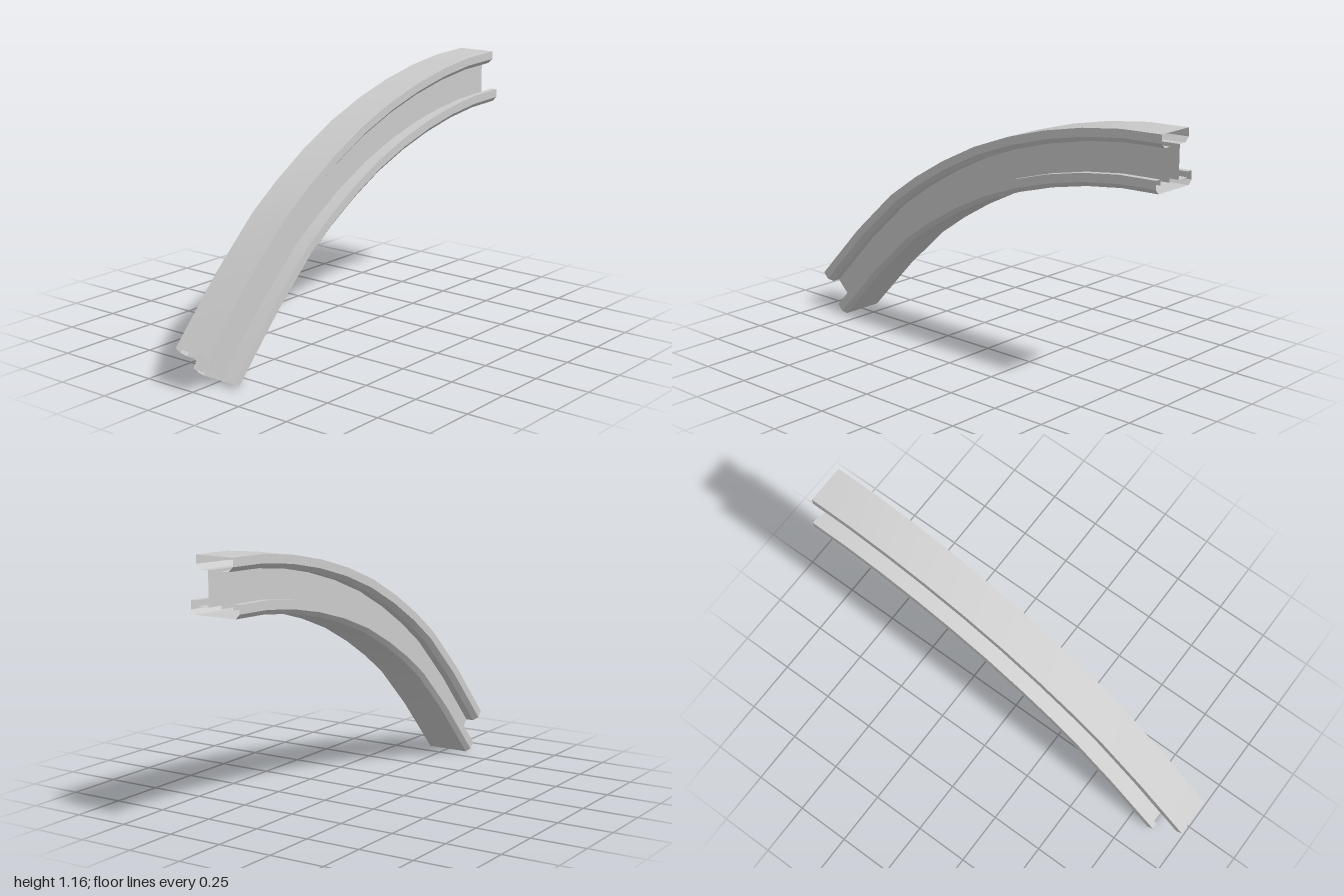
import * as THREE from 'three';

// Path of the beam's top face, as [z, y], from the level end to the sloping end
const path = [
  [-1, 1.156], [-0.8, 1.149], [-0.6, 1.124], [-0.4, 1.083], [-0.2, 1.026], [0, 0.951],
  [0.193, 0.855], [0.364, 0.753], [0.524, 0.641], [0.754, 0.43], [1, 0.169],
];

// Right half of the hollow I section, as [x, depth below the top face]
const half = [
  [0.09, 0], [0.09, 0.037], [0.068, 0.058], [0.031, 0.058], [0.031, 0.204],
  [0.09, 0.204], [0.09, 0.18], [0.118, 0.18], [0.118, 0.218], [0.1, 0.238],
];
const section = [...half, ...half.map(([x, d]) => [-x, d]).reverse()];

// Downward slope of the path at each point: level at one end, 45 degrees at the other
function slopeAt(i) {
  if (i === 0) return 0;
  if (i === path.length - 1) return Math.PI / 4;
  const angle = (a, b) => Math.atan2(a[1] - b[1], b[0] - a[0]);
  return (angle(path[i - 1], path[i]) + angle(path[i], path[i + 1])) / 2;
}

// Sweep each side of the section as its own strip: smooth lengthwise, sharp across
function sweptSection() {
  const position = [], index = [];
  section.forEach((a, k) => {
    const b = section[(k + 1) % section.length];
    const base = position.length / 3;
    path.forEach(([z, y], i) => {
      const t = slopeAt(i);
      for (const [x, d] of [a, b]) {
        position.push(x, y - d * Math.cos(t), z - d * Math.sin(t));
      }
      if (i > 0) {
        const p = base + 2 * (i - 1);
        index.push(p, p + 1, p + 2, p + 1, p + 3, p + 2);
      }
    });
  });
  const geometry = new THREE.BufferGeometry();
  geometry.setAttribute('position', new THREE.Float32BufferAttribute(position, 3));
  // Corners run so that faces look outward
  for (let i = 0; i < index.length; i += 3) {
    [index[i + 1], index[i + 2]] = [index[i + 2], index[i + 1]];
  }
  geometry.setIndex(index);
  geometry.computeVertexNormals();
  return geometry;
}

export function createModel() {
  const model = new THREE.Group();
  model.name = 'curvedBeam';
  // Hollow beam, open at both ends
  const material = new THREE.MeshStandardMaterial({ color: 0xcccccc, side: THREE.DoubleSide });
  const beam = new THREE.Mesh(sweptSection(), material);
  beam.name = 'beamShell';
  model.add(beam);
  return model;
}
